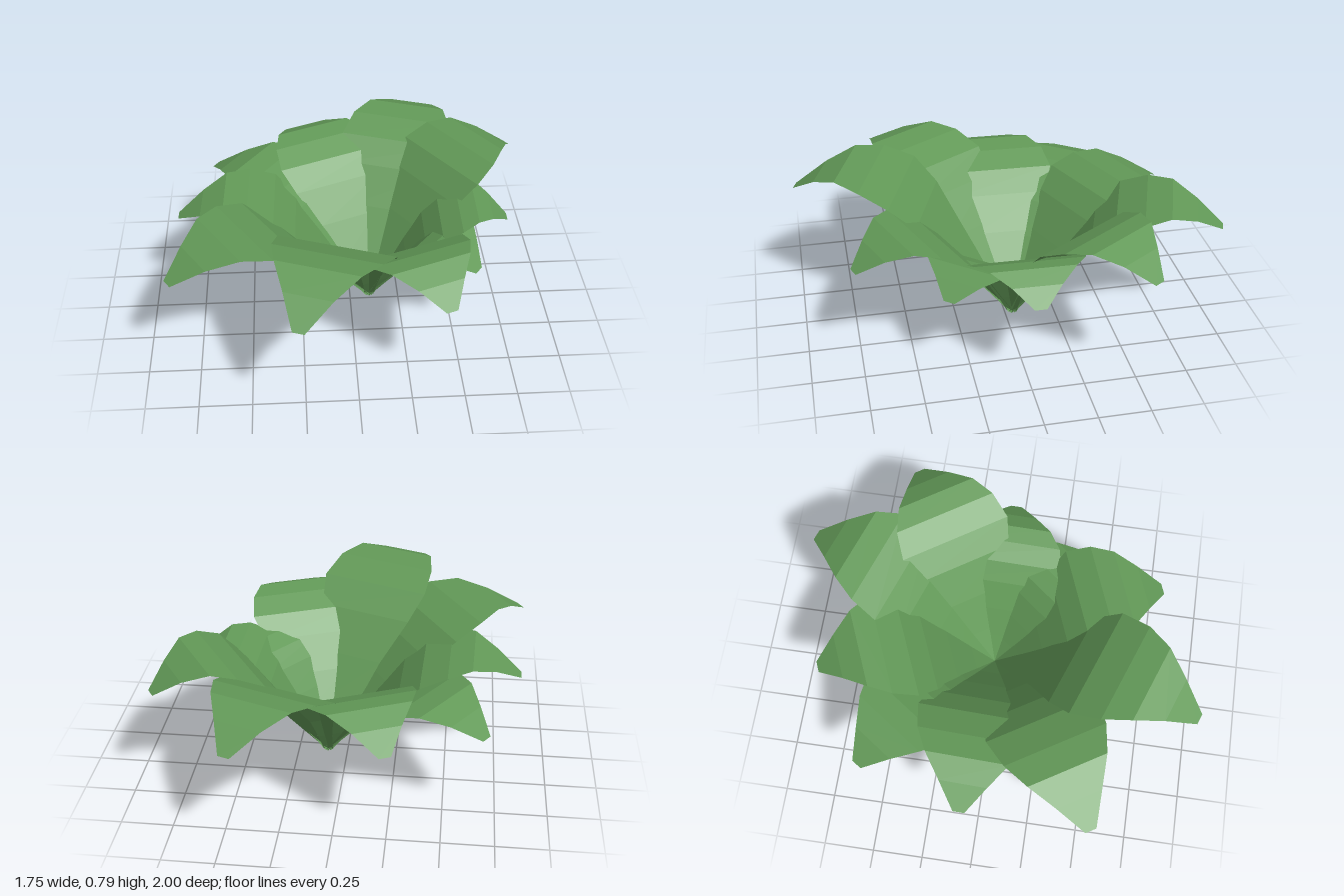
import * as THREE from 'three';

// Leaf cross-sections: fraction of reach, fraction of peak height, half width
const SECTIONS = [
  [0, 0, 0.025], [0.13, 0.25, 0.085], [0.26, 0.51, 0.155], [0.39, 0.75, 0.245],
  [0.5, 0.895, 0.284], [0.635, 0.975, 0.259], [0.755, 1, 0.2], [0.875, 0.93, 0.115], [1, 0.815, 0.028],
];

// Leaves: tip offset in x and z from the root, peak height
const LEAVES = [
  [0.33, -0.955, 0.715], [-0.345, -0.82, 0.655], [-0.785, -0.55, 0.59], [-0.95, -0.03, 0.635],
  [-0.96, 0.59, 0.71], [-0.375, 1.03, 0.785], [0.31, 0.805, 0.655], [0.495, 0.395, 0.535],
  [0.69, 0.015, 0.585], [0.76, -0.5, 0.73],
];

// One arching, drooping sheet that points along +z
function leafGeometry(reach, height) {
  const points = [];
  const index = [];
  SECTIONS.forEach(([f, h, w], i) => {
    points.push(-w, h * height, f * reach, w, h * height, f * reach);
    if (i > 0) {
      const a = 2 * (i - 1);
      index.push(a, a + 2, a + 1, a + 1, a + 2, a + 3);
    }
  });
  const geometry = new THREE.BufferGeometry();
  geometry.setAttribute('position', new THREE.Float32BufferAttribute(points, 3));
  // Reverse the corners so that the upper side is the front
  for (let i = 0; i < index.length; i += 3) {
    [index[i + 1], index[i + 2]] = [index[i + 2], index[i + 1]];
  }
  geometry.setIndex(index);
  const flat = geometry.toNonIndexed();
  flat.computeVertexNormals();
  return flat;
}

export function createModel() {
  const leafGreen = new THREE.MeshStandardMaterial({ color: 0x629957, side: THREE.DoubleSide, flatShading: true });
  leafGreen.name = 'leafGreen';

  const plant = new THREE.Group();
  plant.name = 'plant';

  // Rosette of leaves fanning out from a shared root
  LEAVES.forEach(([x, z, height], i) => {
    const leaf = new THREE.Mesh(leafGeometry(Math.hypot(x, z), height), leafGreen);
    leaf.name = `leaf${i + 1}`;
    leaf.position.set(0.1, 0, -0.04);
    leaf.rotation.y = Math.atan2(x, z);
    plant.add(leaf);
  });
  return plant;
}
